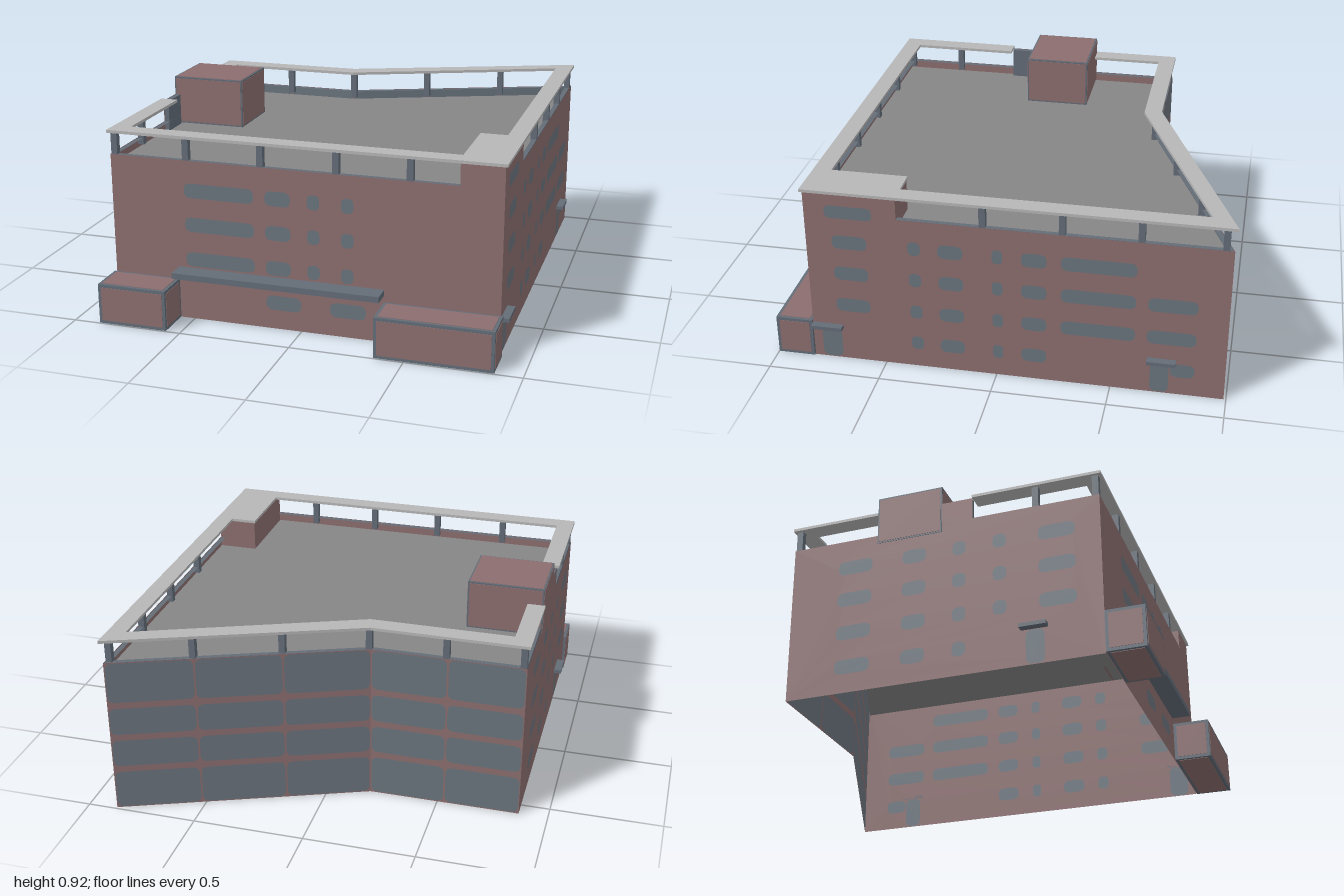
import * as THREE from 'three';

const mat = (name, color, side = THREE.FrontSide) => {
  const m = new THREE.MeshStandardMaterial({ color, side });
  m.name = name;
  return m;
};

export function createModel() {
  const brick = mat('brick', 0x8c6e6f, THREE.DoubleSide);
  const glass = mat('blue grey glass', 0x6a747d, THREE.DoubleSide);
  const trim = mat('blue grey trim', 0x636c77);
  const deckGrey = mat('roof grey', 0x868686, THREE.DoubleSide);
  const pale = mat('pale concrete', 0xb6b6b6);

  const model = new THREE.Group();
  model.name = 'officeBuilding';

  const add = (name, geometry, material, parent = model) => {
    const mesh = new THREE.Mesh(geometry, material);
    mesh.name = name;
    parent.add(mesh);
    return mesh;
  };

  // Box from its minimum and maximum corners
  const box = (name, x0, x1, y0, y1, z0, z1, material) =>
    add(name, new THREE.BoxGeometry(x1 - x0, y1 - y0, z1 - z0), material)
      .position.set((x0 + x1) / 2, (y0 + y1) / 2, (z0 + z1) / 2);

  const polygon = (points) => new THREE.Shape(points.map(([x, y]) => new THREE.Vector2(x, y)));

  // Horizontal slab from a plan outline in x and z, hanging down from its top
  const slab = (name, shape, top, depth, material) => {
    const geo = new THREE.ExtrudeGeometry(shape, { depth, bevelEnabled: false });
    geo.rotateX(Math.PI / 2);
    add(name, geo, material).position.y = top;
  };

  // Rounded window outline
  const pane = (path, [u0, u1, y0, y1]) => {
    const r = Math.min(0.03, (u1 - u0) / 2.2, (y1 - y0) / 2.2);
    path.moveTo(u0 + r, y0);
    path.lineTo(u1 - r, y0);
    path.quadraticCurveTo(u1, y0, u1, y0 + r);
    path.lineTo(u1, y1 - r);
    path.quadraticCurveTo(u1, y1, u1 - r, y1);
    path.lineTo(u0 + r, y1);
    path.quadraticCurveTo(u0, y1, u0, y1 - r);
    path.lineTo(u0, y0 + r);
    path.quadraticCurveTo(u0, y0, u0 + r, y0);
    return path;
  };

  // Wall from plan point a to b, with panes set flush into its openings
  const H = 0.73, TOP = 0.83;
  const wall = (name, a, b, topEdge, openings) => {
    const g = new THREE.Group();
    g.name = name;
    const dx = b[0] - a[0], dz = b[1] - a[1], len = Math.hypot(dx, dz);
    const shape = polygon([[0, 0], [len, 0], ...(topEdge || [[len, H], [0, H]])]);
    shape.holes = openings.map((o) => pane(new THREE.Path(), o));
    add(name + 'Brick', new THREE.ShapeGeometry(shape, 4), brick, g);
    add(name + 'Panes', new THREE.ShapeGeometry(openings.map((o) => pane(new THREE.Shape(), o)), 4), glass, g);
    g.position.set(a[0], 0, a[1]);
    g.rotation.y = Math.atan2(-dz, dx);
    model.add(g);
  };

  // Windows repeated on several floors
  const floors = (rows, spans) =>
    rows.flatMap((y) => spans.map(([u0, u1]) => [u0, u1, y - 0.033, y + 0.033]));
  const upper = [0.28, 0.44, 0.595], all = [0.12, ...upper];

  const FL = [-0.87, 0.83], FR = [0.87, 0.83], BR = [0.87, -0.99], BK = [-0.19, -0.57], BL = [-0.87, -0.57];

  wall('frontWall', FL, FR, [[1.74, TOP], [1.56, TOP], [1.56, H], [0, H]], [
    ...floors(upper, [[0.34, 0.66], [0.71, 0.825], [0.9, 0.955], [1.05, 1.105]]),
    ...floors([0.12], [[0.71, 0.87], [1.0, 1.16]]),
  ]);
  wall('leftSideWall', FR, BR, [[1.82, H], [0.4, H], [0.4, TOP], [0, TOP]], [
    ...floors(upper, [[0.115, 0.27], [1.11, 1.43]]),
    ...floors(all, [[0.45, 0.505], [0.58, 0.69], [0.815, 0.86], [0.94, 1.05]]),
    ...floors([0.28, 0.44], [[1.48, 1.69]]),
    [1.585, 1.69, 0.087, 0.153],
    [0.04, 0.13, 0.004, 0.155], [1.5, 1.58, 0.004, 0.155],
    [0.09, 0.3, 0.71, 0.77],
  ]);
  wall('rightSideWall', BL, FL, [[1.4, H], [0.84, H], [0.84, TOP], [0.4, TOP], [0.4, H], [0, H]], [
    ...floors(upper, [[0.22, 0.38], [0.52, 0.63], [0.75, 0.81], [0.93, 0.99], [1.13, 1.29]]),
    ...floors([0.12], [[0.22, 0.38], [0.52, 0.63], [0.75, 0.81]]),
    [1.07, 1.15, 0.004, 0.155],
  ]);

  // Rear walls: broad ribbon glazing with narrow brick bands
  const ribbons = (len, n) =>
    [[0.004, 0.185], [0.215, 0.345], [0.375, 0.505], [0.535, 0.726]].flatMap(([y0, y1]) =>
      Array.from({ length: n }, (_, i) => [(len * i) / n + 0.004, (len * (i + 1)) / n - 0.004, y0, y1]));
  const slant = Math.hypot(BR[0] - BK[0], BR[1] - BK[1]);
  wall('rearSlantedWall', BR, BK, null, ribbons(slant, 3));
  wall('rearStraightWall', BK, BL, null, ribbons(0.68, 2));

  // Roof deck and the parapet lining around it
  const outline = [[-0.867, 0.827], [0.867, 0.827], [0.867, -0.985], [-0.19, -0.567], [-0.867, -0.567]];
  const deck = new THREE.ShapeGeometry(polygon(outline));
  deck.rotateX(Math.PI / 2);
  add('roofDeck', deck, deckGrey).position.y = 0.685;
  const parapet = polygon(outline);
  parapet.holes = [polygon([[-0.845, 0.805], [0.845, 0.805], [0.845, -0.952], [-0.185, -0.545], [-0.845, -0.545]])];
  slab('parapetLining', parapet, 0.729, 0.043, trim);

  // Flat canopy ring, broken by the stair house and widened at one corner
  slab('canopyRing', polygon([
    [-0.88, 0.27], [-0.88, 0.84], [0.88, 0.84], [0.88, -1], [-0.19, -0.58], [-0.88, -0.58], [-0.88, -0.17],
    [-0.8, -0.17], [-0.8, -0.5], [-0.17, -0.5], [0.8, -0.89], [0.8, 0.42], [0.68, 0.42], [0.68, 0.76],
    [-0.8, 0.76], [-0.8, 0.27],
  ]), 0.84, 0.013, pale);

  // Posts carrying the ring
  const posts = [
    ...[-0.853, -0.52, -0.18, 0.155, 0.475].map((x) => [x, 0.813]),
    ...[0.055, -0.283, -0.612, -0.955].map((z) => [0.853, z]),
    [0.525, -0.83], [0.17, -0.69], [-0.18, -0.553], [-0.52, -0.553], [-0.853, -0.553], [-0.853, 0.55],
  ];
  posts.forEach(([x, z]) => box('ringPost', x - 0.014, x + 0.014, 0.7, 0.828, z - 0.014, z + 0.014, trim));

  // Inner faces of the raised corner room
  box('cornerRoomSide', 0.685, 0.695, 0.685, 0.828, 0.43, 0.828, brick);
  box('cornerRoomBack', 0.685, 0.868, 0.685, 0.828, 0.425, 0.435, brick);
  box('raisedWallBacking', -0.868, -0.846, 0.685, 0.829, 0.13, 0.268, trim);

  // Blue-edged block with brick panels on every face
  const block = (name, x0, x1, y0, y1, z0, z1, e = 0.014) => {
    const t = 0.002;
    box(name + 'Frame', x0, x1, y0, y1, z0, z1, trim);
    box(name + 'PanelX', x0 - t, x1 + t, y0 + e, y1 - e, z0 + e, z1 - e, brick);
    box(name + 'PanelY', x0 + e, x1 - e, y0 - t, y1 + t, z0 + e, z1 - e, brick);
    box(name + 'PanelZ', x0 + e, x1 - e, y0 + e, y1 - e, z0 - t, z1 + t, brick);
  };
  block('stairHouse', -0.872, -0.53, 0.69, 0.915, -0.17, 0.13, 0.007);
  block('baseBlockRight', -0.88, -0.565, 0.002, 0.184, 0.832, 0.998);
  block('baseBlockLeft', 0.37, 0.88, 0.002, 0.184, 0.832, 0.998);

  // Entrance canopies
  box('frontCanopy', -0.565, 0.37, 0.213, 0.24, 0.83, 0.915, trim);
  box('doorCanopy', 0.87, 0.905, 0.157, 0.174, 0.69, 0.83, trim);
  box('doorCanopy', 0.87, 0.905, 0.157, 0.174, -0.78, -0.655, trim);
  box('doorCanopy', -0.905, -0.87, 0.157, 0.174, 0.48, 0.595, trim);

  return model;
}
